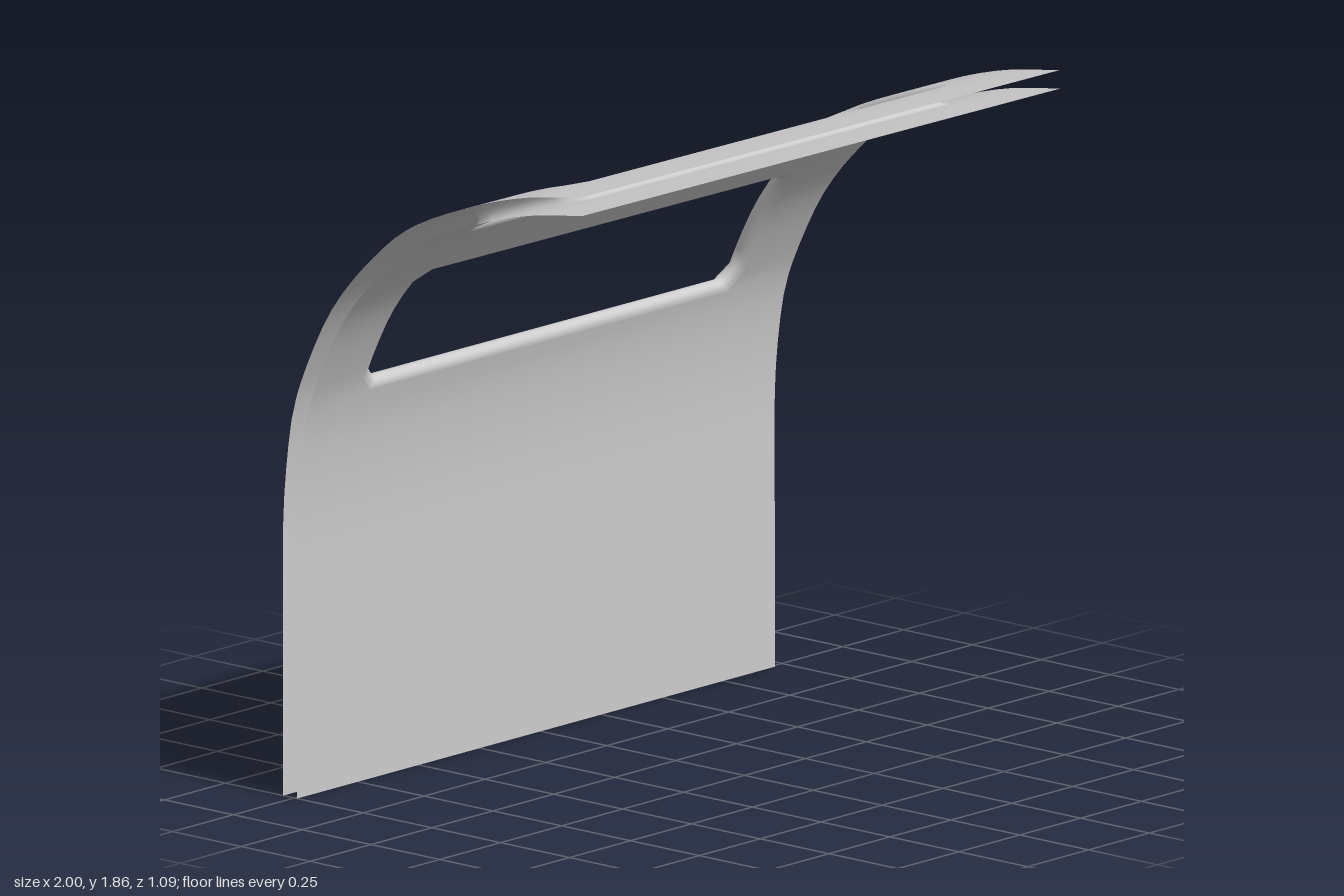
import * as THREE from 'three';

const THICK = 0.05, LIP = 0.025, CHAMFER = 0.045;

// Outer profile, (z, y) from the bottom of the back up and over to the front edge
const profile = new THREE.CatmullRomCurve3([
  [-0.54, 0], [-0.54, 0.4], [-0.54, 0.77], [-0.528, 0.93], [-0.5, 1.1], [-0.433, 1.267], [-0.355, 1.405],
  [-0.237, 1.54], [-0.09, 1.662], [0.13, 1.76], [0.325, 1.82], [0.54, 1.857],
].map(([z, y]) => new THREE.Vector3(0, y, z)));
profile.arcLengthDivisions = 500;
const LENGTH = profile.getLength();

// Distance along the profile at which it reaches height y
function distanceAt(y) {
  let lo = 0, hi = 1;
  for (let i = 0; i < 30; i++) {
    const mid = (lo + hi) / 2;
    if (profile.getPointAt(mid).y < y) lo = mid; else hi = mid;
  }
  return lo * LENGTH;
}

// Point at x, at distance s along the profile and depth d below the outer skin
function panelPoint(x, s, d) {
  const u = THREE.MathUtils.clamp(s / LENGTH, 0, 1);
  const p = profile.getPointAt(u), t = profile.getTangentAt(u);
  const depth = d + 0.006 * (x + 1) * THREE.MathUtils.smoothstep(u, 0.35, 0.6);
  return [x, p.y - t.z * depth, p.z + t.y * depth];
}

// Windows: start and end distance, x of the left and right sides at both ends
const windows = [
  { s0: distanceAt(1.15), s1: distanceAt(1.503), xa: [-0.772, -0.772], xb: [0.73, 0.73] },
  { s0: distanceAt(1.672), s1: distanceAt(1.819), xa: [-0.785, -0.765], xb: [0.725, 0.735] },
];

// Rows [s, xa, xb] of a chamfered window outline, grown by an outset
function windowRows({ s0, s1, xa, xb }, outset) {
  const a = s0 - outset, b = s1 + outset, rows = [];
  const add = (s, inset) => {
    const t = (s - a) / (b - a);
    rows.push([s, THREE.MathUtils.lerp(xa[0], xa[1], t) - outset + inset,
      THREE.MathUtils.lerp(xb[0], xb[1], t) + outset - inset]);
  };
  add(a, CHAMFER);
  for (let i = 0; i <= 6; i++) add(THREE.MathUtils.lerp(a + CHAMFER, b - CHAMFER, i / 6), 0);
  add(b, CHAMFER);
  return rows;
}

// Smooth mesh over rows of points; cells can be skipped and columns can wrap round
function gridMesh(name, rows, { flip = false, wrap = false, skip = () => false } = {}) {
  const n = rows[0].length, index = [];
  for (let i = 0; i < rows.length - 1; i++) {
    for (let j = 0; j < (wrap ? n : n - 1); j++) {
      if (skip(i, j)) continue;
      const k = (j + 1) % n;
      const a = i * n + j, b = i * n + k, c = (i + 1) * n + k, d = (i + 1) * n + j;
      if (flip) index.push(a, c, b, a, d, c); else index.push(a, b, c, a, c, d);
    }
  }
  const geometry = new THREE.BufferGeometry();
  geometry.setAttribute('position', new THREE.Float32BufferAttribute(rows.flat(2), 3));
  geometry.setIndex(index);
  geometry.computeVertexNormals();
  const mesh = new THREE.Mesh(geometry,
    new THREE.MeshStandardMaterial({ color: 0xcccccc, side: THREE.DoubleSide }));
  mesh.name = name;
  return mesh;
}

// One skin of the panel, open at the windows; rightEdge gives its +x border
function skin(name, depth, rightEdge, flip) {
  const rows = [], open = new Set();
  const plain = (from, to, count) => {
    for (let i = 0; i < count; i++) rows.push([from + (to - from) * i / count, -0.75, 0.73]);
  };
  let s = 0;
  for (const w of windows) {
    const outline = windowRows(w, LIP);
    plain(s + (s ? 0.01 : 0), outline[0][0], s ? 4 : 16);
    outline.forEach((row, i) => {
      if (i < outline.length - 1) open.add(rows.length);
      rows.push(row);
    });
    s = outline.at(-1)[0];
  }
  plain(s + 0.01, LENGTH, 5);
  rows.push([LENGTH, -0.75, 0.73]);
  const points = rows.map(([d, xa, xb]) =>
    [-1, xa, xb, rightEdge(d / LENGTH)].map((x) => panelPoint(x, d, depth)));
  return gridMesh(name, points, { flip, skip: (i, j) => j === 1 && open.has(i) });
}

// Rounded rim joining both skins around a window
function windowRim(w) {
  const rings = [];
  for (let k = 0; k <= 8; k++) {
    const angle = Math.PI * k / 8;
    const rows = windowRows(w, LIP * (1 - Math.sin(angle)));
    const depth = THICK / 2 * (1 - Math.cos(angle));
    rings.push([
      ...rows.map(([s, xa]) => panelPoint(xa, s, depth)),
      ...rows.reverse().map(([s, , xb]) => panelPoint(xb, s, depth)),
    ]);
  }
  return gridMesh('windowRim', rings, { wrap: true });
}

export function createModel() {
  const group = new THREE.Group();
  group.name = 'curvedPanel';
  // The outer skin narrows slightly towards the front, the inner one is a little shorter
  group.add(skin('outerSkin', 0, (u) => 1 - 0.035 * THREE.MathUtils.smoothstep(u, 0.35, 1), true));
  group.add(skin('innerSkin', THICK, () => 0.96, false));
  windows.forEach((w) => group.add(windowRim(w)));
  return group;
}
